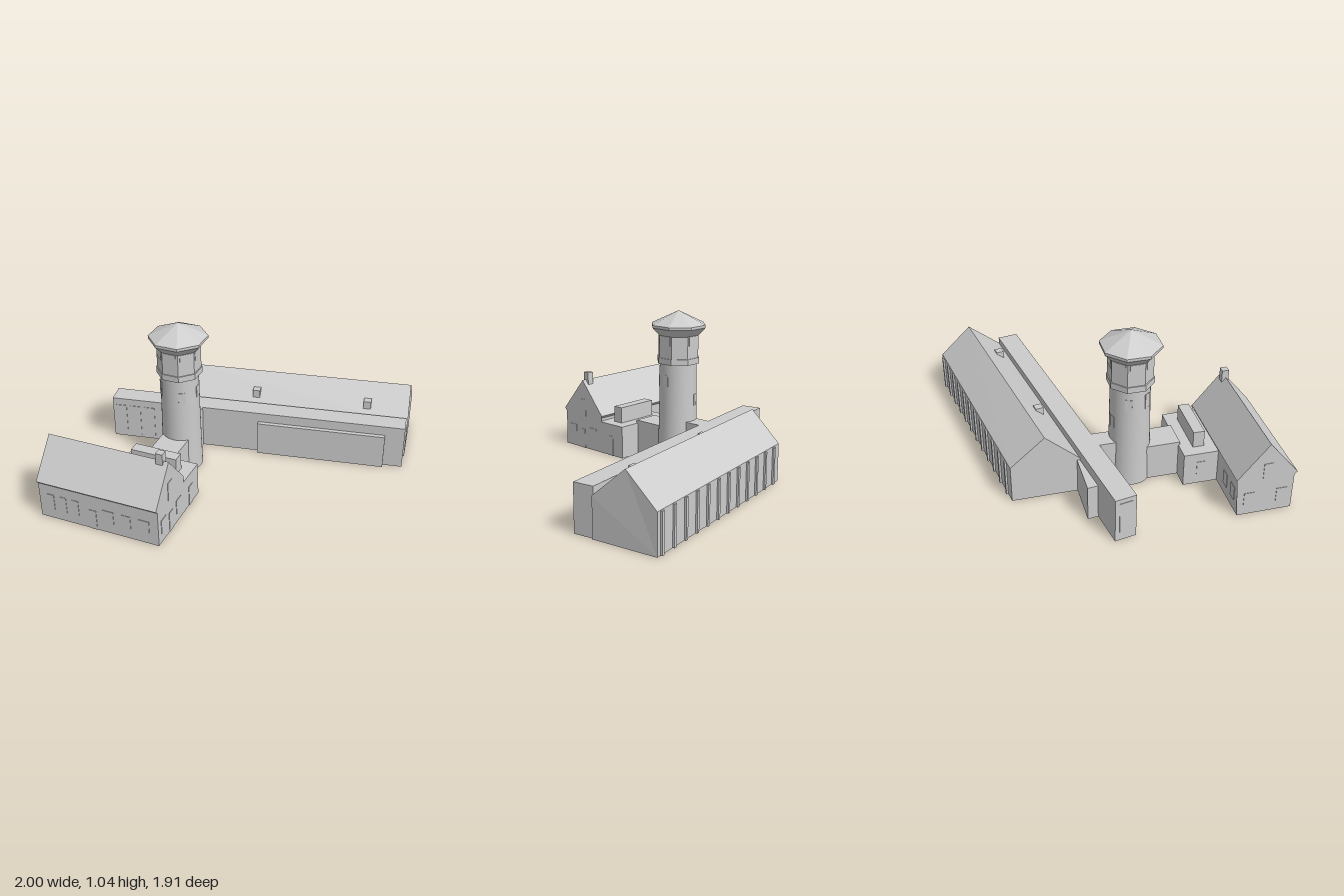
import * as THREE from 'three';

export function createModel() {
  const model = new THREE.Group();
  model.name = 'prisonComplex';
  const stone = new THREE.MeshStandardMaterial({ color: 0xcccccc });
  stone.name = 'paleGrey';

  const add = (name, geo, parent = model) => {
    const mesh = new THREE.Mesh(geo, stone);
    mesh.name = name;
    parent.add(mesh);
    return mesh;
  };
  const flat = (geo) => {
    const g = geo.index ? geo.toNonIndexed() : geo;
    g.computeVertexNormals();
    return g;
  };
  // Box given by its minimum and maximum on each axis
  const box = (name, x0, x1, y0, y1, z0, z1, parent) => {
    const mesh = add(name, new THREE.BoxGeometry(x1 - x0, y1 - y0, z1 - z0), parent);
    mesh.position.set((x0 + x1) / 2, (y0 + y1) / 2, (z0 + z1) / 2);
    return mesh;
  };
  // Thin plate facing the direction "angle" (0 = +z, PI/2 = +x)
  const plate = (name, x, z, y0, y1, width, angle = 0, parent = model, depth = 0.008) => {
    const mesh = add(name, new THREE.BoxGeometry(width, y1 - y0, depth), parent);
    mesh.position.set(x, (y0 + y1) / 2, z);
    mesh.rotation.y = angle;
  };
  // Solid joining two matching end loops
  const loft = (a, b) => {
    const n = a.length, index = [];
    for (let i = 0; i < n; i++) {
      const j = (i + 1) % n;
      index.push(i, j, n + j, i, n + j, n + i);
    }
    for (let i = 1; i < n - 1; i++) index.push(0, i + 1, i, n, n + i, n + i + 1);
    const g = new THREE.BufferGeometry();
    g.setAttribute('position', new THREE.Float32BufferAttribute([...a, ...b].flat(), 3));
    g.setIndex(index);
    return flat(g);
  };

  // Gatehouse: walls and overhanging roof in one section
  const house = new THREE.Group();
  house.name = 'gatehouse';
  model.add(house);
  const section = [[0.938, 0], [0.938, 0.245], [0.957, 0.265], [0.765, 0.497],
    [0.573, 0.265], [0.592, 0.245], [0.592, 0]].reverse();
  const loopAt = (x) => section.map(([z, y]) => [x, y, z]);
  add('houseWallsAndRoof', loft(loopAt(-0.96), loopAt(-0.15)), house);
  box('houseChimney', -0.225, -0.18, 0.42, 0.55, 0.738, 0.783, house);
  for (const [x, w] of [[-0.88, 0.045], [-0.795, 0.045], [-0.71, 0.045]])
    plate('tallWindow', x, 0.937, 0.065, 0.178, w, 0, house);
  for (const [x, w] of [[-0.485, 0.072], [-0.365, 0.062], [-0.245, 0.07]])
    plate('frontWindow', x, 0.937, 0.07, 0.163, w, 0, house);
  plate('frontDoor', -0.592, 0.937, 0, 0.14, 0.05, 0, house);
  for (const x of [-0.87, -0.75]) plate('backWindow', x, 0.593, 0.07, 0.163, 0.06, Math.PI, house);
  for (const [x, side] of [[-0.151, 1], [-0.959, -1]]) {
    const a = side * Math.PI / 2;
    plate('gableWindow', x, 0.765, 0.235, 0.36, 0.056, a, house);
    for (const z of [0.866, 0.66]) plate('endWindow', x, z, 0.063, 0.16, 0.065, a, house);
  }
  plate('endDoor', -0.151, 0.768, 0, 0.14, 0.05, Math.PI / 2, house);

  // Flat-roofed annex and passage to the tower
  box('annex', -0.61, -0.15, 0, 0.225, 0.37, 0.6);
  box('annexRoofBlock', -0.535, -0.225, 0.22, 0.335, 0.45, 0.522);
  plate('annexDoor', -0.151, 0.485, 0, 0.14, 0.052, Math.PI / 2);
  plate('annexWindow', -0.609, 0.485, 0.07, 0.163, 0.06, -Math.PI / 2);
  box('towerPassage', -0.49, -0.305, 0, 0.245, 0.1, 0.38);
  box('corridorPassage', -0.47, -0.345, 0, 0.3, -0.25, 0.05);

  // Watchtower
  const tower = new THREE.Group();
  tower.name = 'watchtower';
  tower.position.set(-0.395, 0.077, 0);
  tower.position.set(-0.395, 0, 0.077);
  model.add(tower);
  const shaft = [[0.135, 0], [0.13, 0.2], [0.126, 0.45], [0.124, 0.7]].map((p) => new THREE.Vector2(...p));
  add('towerShaft', new THREE.LatheGeometry(shaft, 40), tower);
  const underside = add('towerBase', new THREE.CircleGeometry(0.135, 40), tower);
  underside.rotation.x = Math.PI / 2;
  // Octagons are sized by the distance from centre to flat side
  const octagon = (name, bottom, top, y0, y1) => {
    const k = 1 / Math.cos(Math.PI / 8);
    const g = new THREE.CylinderGeometry(top * k, bottom * k, y1 - y0, 8, 1, false, Math.PI / 8);
    add(name, flat(g), tower).position.y = (y0 + y1) / 2;
  };
  octagon('collar', 0.136, 0.136, 0.69, 0.73);
  octagon('lookout', 0.13, 0.13, 0.73, 0.885);
  octagon('eavesSoffit', 0.13, 0.175, 0.88, 0.932);
  octagon('eavesFascia', 0.175, 0.175, 0.932, 0.95);
  octagon('towerRoof', 0.175, 0.0001, 0.95, 1.04);
  for (let i = 0; i < 8; i++) {
    const a = i * Math.PI / 4;
    plate('lookoutWindow', 0.129 * Math.sin(a), 0.129 * Math.cos(a), 0.818, 0.878, 0.08, a, tower);
  }
  for (const [deg, y0, y1] of [[-50, 0.545, 0.645], [30, 0.52, 0.6], [90, 0.54, 0.617],
    [-109, 0.55, 0.63], [-163, 0.4, 0.48]]) {
    const a = deg * Math.PI / 180;
    plate('towerWindow', 0.123 * Math.sin(a), 0.123 * Math.cos(a), y0, y1, 0.042, a, tower, 0.009);
  }

  // Long corridor block, turned slightly
  const turn = 0.18;
  const corridor = new THREE.Group();
  corridor.name = 'corridorBlock';
  corridor.position.set(0, 0, -0.285);
  corridor.rotation.y = turn;
  model.add(corridor);
  box('corridor', -1.004, 1.004, 0, 0.3, -0.0675, 0.0675, corridor);
  box('frontBay', 0.023, 0.877, 0, 0.235, 0.05, 0.097, corridor);
  for (const u of [-0.945, -0.845, -0.745]) plate('corridorPanel', u, 0.067, 0.02, 0.25, 0.075, 0, corridor);
  plate('corridorEndPanel', -1.003, 0, 0.02, 0.27, 0.08, -Math.PI / 2, corridor);
  for (const u of [-0.028, 0.735]) box('roofVent', u - 0.025, u + 0.025, 0.28, 0.36, -0.178, -0.128, corridor);

  // Low lean-to behind the corridor
  const plan = [[-0.775, -0.28], [-0.48, -0.28], [-0.48, -0.2], [-0.758, -0.15]].reverse();
  const planAt = (y) => plan.map(([x, z]) => [x, y, z]);
  add('rearStore', loft(planAt(0), planAt(0.235)));

  // Main hall with pitched roof
  const hallEnd = ([fx, fz], [rx, rz], [bx, bz]) =>
    [[fx, 0, fz], [fx, 0.25, fz], [rx, 0.438, rz], [bx, 0.25, bz], [bx, 0, bz]].reverse();
  add('mainHall', loft(
    hallEnd([-0.5, -0.262], [-0.5, -0.475], [-0.5, -0.69]),
    hallEnd([0.987, -0.53], [0.947, -0.743], [0.925, -0.95])));
  // Pilasters along the rear wall
  for (let i = 0; i < 12; i++) {
    const x = -0.42 + i * 0.1186;
    const rib = add('pilaster', new THREE.BoxGeometry(0.02, 0.245, 0.024));
    rib.position.set(x, 0.1225, -0.69 - (x + 0.5) * 0.1825);
    rib.rotation.y = turn;
  }
  return model;
}
